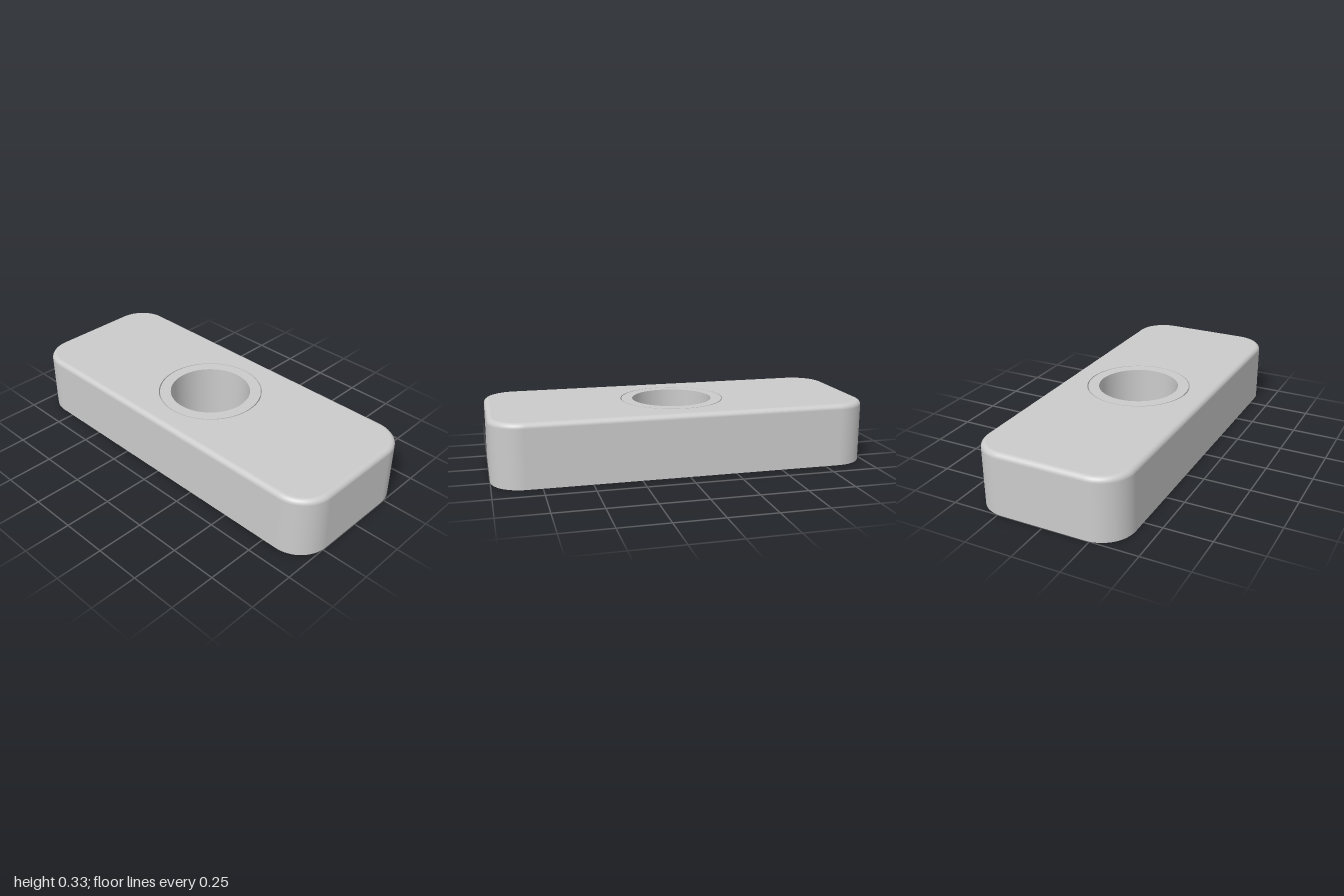
import * as THREE from 'three';

const W = 0.4, L = 1, H = 0.333;          // half width, half length, height
const CORNER = 0.17, FILLET = 0.027;      // plan corner radius, top edge radius
const BORE = 0.215, SEAT = 0.279, GAP = 0.006, SEAT_DEPTH = 0.1;
const PIN = 0.077, PIN_Z = 0.6, PIN_DEPTH = 0.2;
const SEG = 16;

export function createModel() {
  const group = new THREE.Group();
  const material = new THREE.MeshStandardMaterial({ color: 0xcccccc });
  const add = (name, geometry, y = 0, z = 0) => {
    const mesh = new THREE.Mesh(geometry, material);
    mesh.name = name;
    mesh.position.set(0, y, z);
    group.add(mesh);
  };

  // Rounded rectangle as points with outward directions, shrunk by inset
  const outline = (inset) => {
    const pts = [];
    [[1, 1], [-1, 1], [-1, -1], [1, -1]].forEach(([sx, sz], q) => {
      for (let i = 0; i <= SEG; i++) {
        const a = (q + i / SEG) * Math.PI / 2, c = Math.cos(a), s = Math.sin(a);
        const r = CORNER - inset;
        pts.push({ x: sx * (W - CORNER) + r * c, z: sz * (L - CORNER) + r * s, c, s });
      }
    });
    return pts;
  };
  const outlineShape = (inset) =>
    new THREE.Shape(outline(inset).map((p) => new THREE.Vector2(p.x, p.z)));
  const circle = (r, z = 0) => new THREE.Path().absarc(0, z, r, 0, Math.PI * 2, true);
  const flat = (shape, up) => new THREE.ShapeGeometry(shape, 48).rotateX(up ? -Math.PI / 2 : Math.PI / 2);
  // Revolved surface; the profile order decides which side faces out
  const turned = (pairs) => new THREE.LatheGeometry(pairs.map(([r, y]) => new THREE.Vector2(r, y)), 96);

  // Side wall with rounded top edge, lofted from outline sections
  const sections = [{ inset: 0, y: 0, t: 0 }];
  for (let i = 0; i <= 8; i++) {
    const t = (i / 8) * Math.PI / 2;
    sections.push({ inset: FILLET * (1 - Math.cos(t)), y: H - FILLET + FILLET * Math.sin(t), t });
  }
  const pos = [], nor = [], idx = [], n = 4 * (SEG + 1);
  sections.forEach(({ inset, y, t }, k) => {
    outline(inset).forEach((p, i) => {
      pos.push(p.x, y, p.z);
      nor.push(p.c * Math.cos(t), Math.sin(t), p.s * Math.cos(t));
      if (k === 0) return;
      const j = (i + 1) % n, lo = (k - 1) * n, hi = k * n;
      idx.push(lo + i, hi + i, lo + j, lo + j, hi + i, hi + j);
    });
  });
  const wall = new THREE.BufferGeometry();
  wall.setAttribute('position', new THREE.Float32BufferAttribute(pos, 3));
  wall.setAttribute('normal', new THREE.Float32BufferAttribute(nor, 3));
  wall.setIndex(idx);
  add('sideWall', wall);

  // Top face around the bushing seat
  const top = outlineShape(FILLET);
  top.holes.push(circle(SEAT));
  add('topFace', flat(top, true), H);

  // Flush rectangular base plate and the rim around it
  const e = CORNER * (1 - Math.SQRT1_2) + 0.002, px = W - e, pz = L - e;
  const corners = [[-px, -pz], [px, -pz], [px, pz], [-px, pz]].map(([x, z]) => new THREE.Vector2(x, z));
  const rim = outlineShape(0);
  rim.holes.push(new THREE.Path([...corners].reverse()));
  add('bottomRim', flat(rim, false));
  const plate = new THREE.Shape(corners);
  plate.holes.push(circle(BORE), circle(PIN, PIN_Z), circle(PIN, -PIN_Z));
  add('basePlate', flat(plate, false));

  // Bushing seat: narrow groove between body and bushing
  const floor = H - SEAT_DEPTH;
  add('seatWall', turned([[SEAT, H], [SEAT, floor]]));
  add('seatFloor', turned([[SEAT, floor], [SEAT - GAP, floor]]));

  // Bushing with the through bore
  add('bushingOuter', turned([[SEAT - GAP, floor], [SEAT - GAP, H]]));
  add('bushingTop', turned([[SEAT - GAP, H], [BORE, H]]));
  add('boreWall', turned([[BORE, H], [BORE, 0]]));

  // Blind pin holes in the underside
  for (const z of [PIN_Z, -PIN_Z]) {
    add('pinHoleWall', turned([[PIN, PIN_DEPTH], [PIN, 0]]), 0, z);
    add('pinHoleEnd', new THREE.CircleGeometry(PIN, 96).rotateX(Math.PI / 2), PIN_DEPTH, z);
  }
  return group;
}
